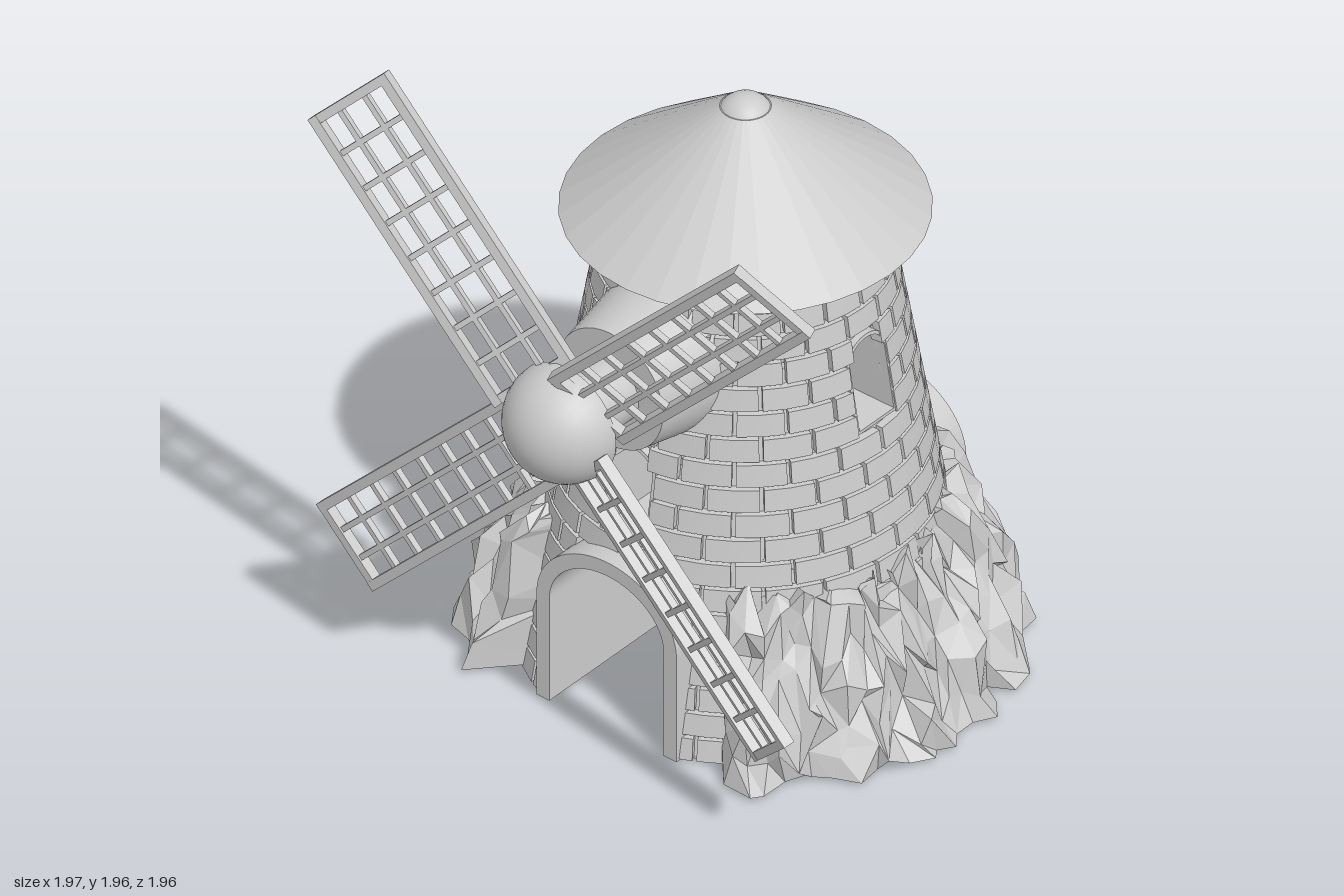
import * as THREE from 'three';
import { mergeGeometries } from 'three/addons/utils/BufferGeometryUtils.js';

const grey = new THREE.MeshStandardMaterial({ color: 0xcccccc });
const thin = new THREE.MeshStandardMaterial({ color: 0xcccccc, side: THREE.DoubleSide });
const flat = new THREE.MeshStandardMaterial({ color: 0xcccccc, flatShading: true, side: THREE.DoubleSide });

const ROWS = 19, TOP = 1.41, ROW_H = TOP / ROWS;
const radiusAt = (y) => 0.626 - 0.172 * y; // outer face of the tapering tower

// Arched openings: half width w, bottom, spring height, arch rise, wall thickness t
const door = { w: 0.2, bottom: 0, spring: 0.34, rise: 0.165, t: 0.045 };
const lowWindow = { w: 0.072, bottom: 0.6, spring: 0.8, rise: 0.065, t: 0.01 };
const highWindow = { w: 0.072, bottom: 0.91, spring: 1.1, rise: 0.065, t: 0.01 };
const openings = [
  [0, door], [Math.PI, door], [0, lowWindow], [Math.PI, lowWindow],
  [Math.PI / 2, highWindow], [1.5 * Math.PI, highWindow],
];

function mesh(name, geometry, material = grey) {
  const m = new THREE.Mesh(geometry, material);
  m.name = name;
  return m;
}

function seeded(seed) {
  return () => {
    seed = (seed * 16807) % 2147483647;
    return seed / 2147483647;
  };
}

function halfWidth(o, y) {
  const rise = o.rise + o.t, w = o.w + o.t * 0.6;
  if (y < o.bottom - o.t || y > o.spring + rise) return 0;
  return y < o.spring ? w : w * Math.sqrt(1 - ((y - o.spring) / rise) ** 2);
}

// Splits an arc of the wall around the openings at height y
function clipArc(from, to, y) {
  let pieces = [[from, to]];
  for (const [angle, o] of openings) {
    const a = Math.asin(halfWidth(o, y) / radiusAt(y));
    if (a === 0) continue;
    pieces = pieces.flatMap(([s, e]) => [[s, Math.min(e, angle - a)], [Math.max(s, angle + a), e]]);
    pieces = pieces.filter(([s, e]) => e - s > 0.004);
  }
  return pieces;
}

function brick(a0, a1, y0, y1) {
  const g = new THREE.BoxGeometry(1, 1, 1, 2, 1, 1);
  const p = g.attributes.position;
  for (let i = 0; i < p.count; i++) {
    const a = a0 + (p.getX(i) + 0.5) * (a1 - a0);
    const y = y0 + (p.getY(i) + 0.5) * (y1 - y0);
    const r = radiusAt(y) + (p.getZ(i) > 0 ? 0 : -0.035);
    p.setXYZ(i, r * Math.sin(a), y, r * Math.cos(a));
  }
  g.computeVertexNormals();
  return g;
}

function tower() {
  const group = new THREE.Group();
  group.name = 'tower';
  const start = -Math.PI / 4, step = Math.PI / 10, bricks = [], core = [];
  for (let row = 0; row < ROWS; row++) {
    const y = row * ROW_H;
    for (let k = 0; k < 20; k++) {
      const a = start + (k + (row % 2) * 0.5) * step, gap = 0.006 / radiusAt(y);
      for (const [s, e] of clipArc(a + gap, a + step - gap, y + ROW_H / 2)) {
        bricks.push(brick(s, e, y + 0.005, y + ROW_H - 0.005));
      }
    }
    for (let sub = 0; sub < 4; sub++) {
      const h = ROW_H / 4, b = y + sub * h;
      for (const [s, e] of clipArc(start, start + 2 * Math.PI, b + h / 2)) {
        const g = new THREE.CylinderGeometry(radiusAt(b + h) - 0.022, radiusAt(b) - 0.022, h, 32, 1, true, s, e - s);
        core.push(g.translate(0, b + h / 2, 0));
      }
    }
  }
  group.add(mesh('bricks', mergeGeometries(bricks)), mesh('mortarWall', mergeGeometries(core), thin));
  return group;
}

// Outline of an opening grown by t
function traceArch(path, o, t, bottom) {
  path.moveTo(-o.w - t, bottom);
  path.lineTo(o.w + t, bottom);
  path.lineTo(o.w + t, o.spring);
  path.absellipse(0, o.spring, o.w + t, o.rise + t, 0, Math.PI, false, 0);
  path.lineTo(-o.w - t, bottom);
  return path;
}

function windowTunnel(o, turn) {
  const shape = traceArch(new THREE.Shape(), o, o.t, o.bottom - o.t);
  shape.holes.push(traceArch(new THREE.Path(), o, 0, o.bottom));
  const g = new THREE.ExtrudeGeometry(shape, { depth: 1, bevelEnabled: false, curveSegments: 12 });
  const p = g.attributes.position;
  // Ends follow the round, leaning wall
  for (let i = 0; i < p.count; i++) {
    const z = Math.sqrt((radiusAt(p.getY(i)) - 0.004) ** 2 - p.getX(i) ** 2);
    p.setZ(i, p.getZ(i) > 0.5 ? z : -z);
  }
  g.computeVertexNormals();
  return mesh('windowTunnel', g.rotateY(turn));
}

function doorTunnel() {
  const s = new THREE.Shape(), { w, t, spring, rise } = door;
  s.moveTo(w, 0);
  s.lineTo(w + t, 0);
  s.lineTo(w + t, spring);
  s.absellipse(0, spring, w + t, rise + t, 0, Math.PI, false, 0);
  s.lineTo(-w - t, 0);
  s.lineTo(-w, 0);
  s.lineTo(-w, spring);
  s.absellipse(0, spring, w, rise, Math.PI, 0, true, 0);
  const g = new THREE.ExtrudeGeometry(s, { depth: 1.22, bevelEnabled: false, curveSegments: 20 });
  return mesh('doorTunnel', g.translate(0, 0, -0.635));
}

// Jagged rock bank on one side, from the front door round to the back door
function rockBank(side, seed) {
  const rand = seeded(seed), cols = 34, from = 0.56, to = Math.PI - 0.3;
  const profile = [[0.55, 0.006], [0.75, 0.012], [0.735, 0.09], [0.7, 0.18], [0.67, 0.27], [0.62, 0.36], [0.575, 0.44], [0.54, 0.5], [0.47, 0.47]];
  const pos = [], index = [], n = profile.length;
  for (let i = 0; i <= cols; i++) {
    for (let j = 0; j < n; j++) {
      const end = i === 0 || i === cols, inner = j === 0 || j === n - 1;
      const a = from + ((to - from) * (i + (end ? 0 : (rand() - 0.5) * 0.95))) / cols;
      const r = end ? 0.5 : profile[j][0] + (inner ? 0 : (rand() - 0.5) * 0.095);
      const y = profile[j][1] + (j < 2 ? 0 : (rand() - 0.5) * 0.085);
      let x = r * Math.sin(a);
      const z = r * Math.cos(a);
      if (z < 0) x = Math.max(x, 0.222);
      pos.push(x * side, y, z);
      if (i < cols && j < n - 1) {
        const p = i * n + j, q = p + n;
        const quad = rand() < 0.5 ? [p, q, q + 1, p, q + 1, p + 1] : [p, q, p + 1, q, q + 1, p + 1];
        index.push(...(side > 0 ? quad : quad.reverse()));
      }
    }
  }
  const g = new THREE.BufferGeometry();
  g.setAttribute('position', new THREE.Float32BufferAttribute(pos, 3));
  g.setIndex(index);
  const out = g.toNonIndexed();
  out.computeVertexNormals();
  return mesh('rockBank', out, flat);
}

// Half of the floor, beside the passage
function floorHalf(side) {
  const a = Math.acos(0.2 / 0.61), s = new THREE.Shape();
  s.absarc(0, 0, 0.61, -a, a, false);
  const g = new THREE.ShapeGeometry(s, 24).rotateX(Math.PI / 2).rotateY(side > 0 ? 0 : Math.PI);
  return mesh('floor', g.translate(0, 0.004, 0), thin);
}

function sail(pitch) {
  const bars = [], inner = 0.13, outer = 1.055, width = 0.28;
  const bar = (w, h, d, x, y) => bars.push(new THREE.BoxGeometry(w, h, d).translate(x, y, 0));
  for (const s of [-1, 1]) {
    bar(0.028, outer - inner, 0.034, s * (width / 2 - 0.014), (inner + outer) / 2);
    bar(0.016, outer - inner, 0.02, s * 0.045, (inner + outer) / 2);
  }
  for (let i = 0; i <= 8; i++) {
    const edge = i === 0 || i === 8, h = edge ? 0.026 : 0.016;
    bar(width - 0.02, h, edge ? 0.032 : 0.02, 0, inner + 0.013 + ((outer - inner - 0.026) * i) / 8);
  }
  return mesh('sail', mergeGeometries(bars).rotateY(pitch));
}

function rotor() {
  const group = new THREE.Group();
  group.name = 'rotor';
  const along = (name, rFront, rBack, z0, z1) => {
    const g = new THREE.CylinderGeometry(rFront, rBack, z1 - z0, 40).rotateX(Math.PI / 2);
    group.add(mesh(name, g.translate(0, 0, (z0 + z1) / 2)));
  };
  along('housing', 0.185, 0.235, 0.3, 0.57);
  along('axle', 0.1, 0.1, 0.5, 0.76);
  const dome = new THREE.SphereGeometry(0.175, 32, 12, 0, Math.PI * 2, 0, Math.PI / 2).rotateX(Math.PI / 2);
  const back = new THREE.CircleGeometry(0.175, 32).rotateY(Math.PI);
  group.add(mesh('hub', mergeGeometries([dome, back]).translate(0, 0, 0.755)));
  // One of the four sails has no pitch
  [0.36, 0.36, 0, 0.36].forEach((pitch, k) => {
    const s = sail(pitch);
    s.rotation.z = -Math.PI / 4 - (k * Math.PI) / 2;
    s.position.z = 0.775;
    group.add(s);
  });
  group.position.y = 1.115;
  return group;
}

function roof() {
  const group = new THREE.Group();
  group.name = 'roof';
  const cone = mesh('roofCone', new THREE.CylinderGeometry(0.07, 0.505, 0.33, 32), flat);
  cone.position.y = 1.575;
  const knob = mesh('roofKnob', new THREE.SphereGeometry(0.084, 24, 16));
  knob.position.y = 1.69;
  group.add(cone, knob);
  return group;
}

export function createModel() {
  const model = new THREE.Group();
  model.name = 'windmill';
  const mill = new THREE.Group();
  mill.name = 'mill';
  mill.add(tower(), roof(), rotor(), doorTunnel());
  mill.add(windowTunnel(lowWindow, 0), windowTunnel(highWindow, Math.PI / 2));
  mill.add(rockBank(1, 4711), rockBank(-1, 90210), floorHalf(1), floorHalf(-1));
  // The mill faces diagonally to the front right
  mill.rotation.y = -Math.PI / 4;
  mill.position.set(0.21, 0, -0.21);
  model.add(mill);
  return model;
}
